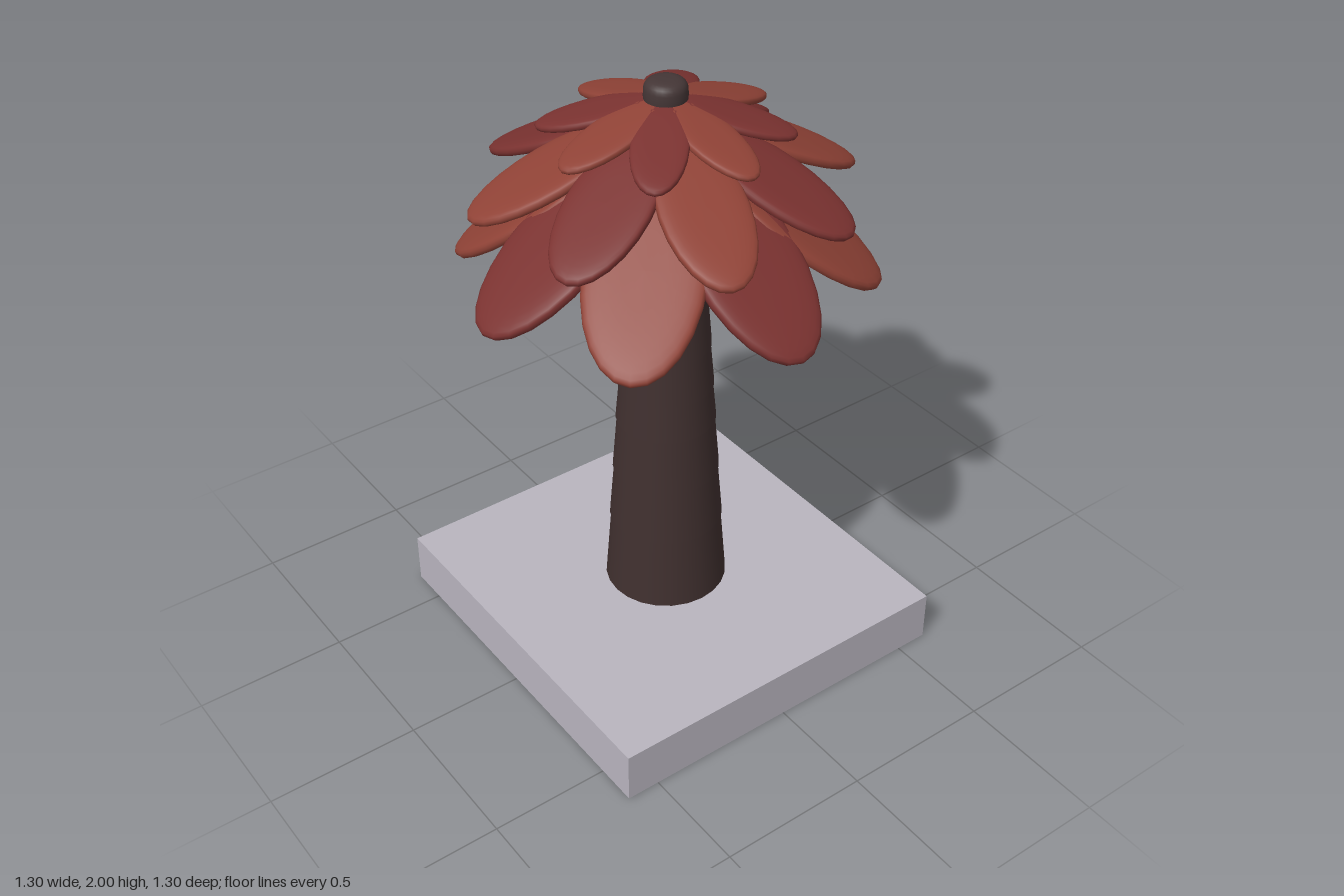
import * as THREE from 'three';

const mat = (color) => new THREE.MeshStandardMaterial({ color });

// Unit disc with a gently domed face and a rounded rim
function cushionGeometry(sides) {
  const points = [];
  for (let i = 0; i <= 16; i++) {
    const a = -Math.PI / 2 + (i / 16) * Math.PI;
    const r = Math.pow(Math.max(Math.cos(a), 0), 0.6);
    const y = Math.sign(a) * Math.pow(Math.abs(Math.sin(a)), 0.6);
    points.push(new THREE.Vector2(i % 16 === 0 ? 0 : r, y));
  }
  return new THREE.LatheGeometry(points, sides);
}

export function createModel() {
  const model = new THREE.Group();
  model.name = 'palmTree';
  const bark = mat(0x40302f);
  const leafColors = [mat(0x7a3230), mat(0x8f4236)];

  // Square plinth
  const base = new THREE.Mesh(new THREE.BoxGeometry(1.22, 0.175, 1.265), mat(0xb9b5bf));
  base.name = 'base';
  base.position.set(0, 0.0875, 0.007);
  model.add(base);

  // Tapered trunk in stacked segments, each with a slight lip
  const trunk = new THREE.Group();
  trunk.name = 'trunk';
  const joints = [0.175, 0.43, 0.625, 0.82, 0.95, 1.1, 1.3, 1.9];
  const radiusAt = (y) => 0.2 - (y - 0.175) * 0.0625;
  for (let i = 0; i < joints.length - 1; i++) {
    const [y0, y1] = [joints[i], joints[i + 1]];
    const segment = new THREE.Mesh(
      new THREE.CylinderGeometry(radiusAt(y1) - 0.002, radiusAt(y0) + 0.002, y1 - y0, 24), bark);
    segment.name = 'trunkSegment';
    segment.position.y = (y0 + y1) / 2;
    trunk.add(segment);
  }
  model.add(trunk);

  // Three tiers of eight drooping leaves, each tier turned a little further
  const leafGeometry = cushionGeometry(24);
  const tiers = [
    { name: 'lowerLeaves', r: 0.38, y: 1.58, length: 0.335, width: 0.18, thick: 0.028, tilt: 37, turn: 0 },
    { name: 'middleLeaves', r: 0.35, y: 1.755, length: 0.27, width: 0.133, thick: 0.023, tilt: 25, turn: 26.5 },
    { name: 'upperLeaves', r: 0.2, y: 1.885, length: 0.188, width: 0.084, thick: 0.017, tilt: 16, turn: 49 },
  ];
  for (const t of tiers) {
    const tier = new THREE.Group();
    tier.name = t.name;
    for (let i = 0; i < 8; i++) {
      const arm = new THREE.Group();
      arm.name = 'leafArm';
      arm.rotation.y = THREE.MathUtils.degToRad(t.turn + i * 45);
      const leaf = new THREE.Mesh(leafGeometry, leafColors[i % 2]);
      leaf.name = 'leaf';
      leaf.scale.set(t.length, t.thick, t.width);
      leaf.position.set(t.r, t.y, 0);
      leaf.rotation.z = -THREE.MathUtils.degToRad(t.tilt);
      arm.add(leaf);
      tier.add(arm);
    }
    model.add(tier);
  }

  // Rounded bud on top
  const bud = new THREE.Mesh(cushionGeometry(24), mat(0x443636));
  bud.name = 'bud';
  bud.scale.set(0.066, 0.05, 0.066);
  bud.position.y = 1.95;
  model.add(bud);

  return model;
}
